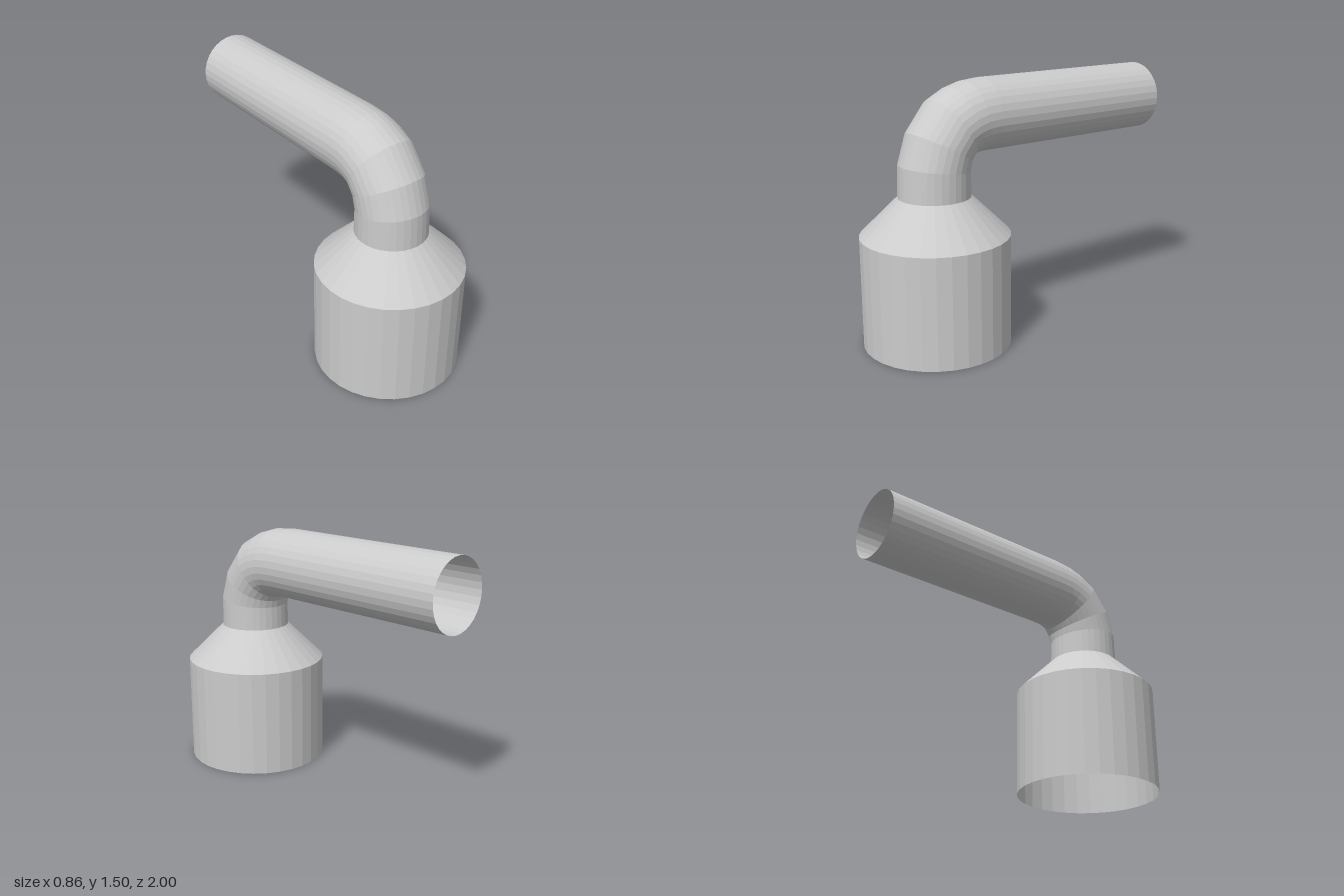
import * as THREE from 'three';

const SIDES = 32;
const material = new THREE.MeshStandardMaterial({
  color: 0xcccccc, flatShading: true, side: THREE.DoubleSide,
});

// Skin a row of rings. Each ring is [outer z, outer y, inner z, inner y, half width in x].
function loft(name, rings) {
  const positions = [], index = [];
  rings.forEach(([oz, oy, iz, iy, halfWidth], i) => {
    for (let j = 0; j < SIDES; j++) {
      const a = (j / SIDES) * Math.PI * 2;
      const c = Math.cos(a) / 2;
      positions.push(
        halfWidth * Math.sin(a),
        (oy + iy) / 2 + c * (oy - iy),
        (oz + iz) / 2 + c * (oz - iz),
      );
      if (i === 0) continue;
      const k = (j + 1) % SIDES, lo = (i - 1) * SIDES, hi = i * SIDES;
      index.push(lo + j, lo + k, hi + k, lo + j, hi + k, hi + j);
    }
  });
  const geometry = new THREE.BufferGeometry();
  geometry.setAttribute('position', new THREE.Float32BufferAttribute(positions, 3));
  geometry.setIndex(index);
  geometry.computeVertexNormals();
  const mesh = new THREE.Mesh(geometry, material);
  mesh.name = name;
  return mesh;
}

export function createModel() {
  const group = new THREE.Group();
  group.name = 'elbowPipe';

  const axisZ = 0.572, baseR = 0.428, pipeR = 0.207;
  const level = (r, y) => [axisZ + r, y, axisZ - r, y, r];
  const baseTop = level(baseR, 0.645), neck = level(pipeR, 0.863);

  // Wide socket, open at the bottom, and the cone narrowing to the pipe
  group.add(loft('socket', [level(baseR, 0), baseTop]));
  group.add(loft('shoulder', [baseTop, neck]));

  // Bend from vertical to horizontal
  const bendEnd = [0.24, 1.498, 0.24, 1.082, pipeR];
  group.add(loft('elbow', [
    neck,
    [0.771, 1.05, 0.37, 1.0, pipeR],
    [0.712, 1.23, 0.362, 1.04, pipeR],
    [0.575, 1.40, 0.345, 1.068, pipeR],
    [0.46, 1.46, 0.325, 1.076, pipeR],
    [0.36, 1.488, 0.3, 1.08, pipeR],
    bendEnd,
  ]));

  // Long straight run, open at the back
  group.add(loft('straightPipe', [bendEnd, [-1, 1.492, -1, 1.076, pipeR]]));
  return group;
}
